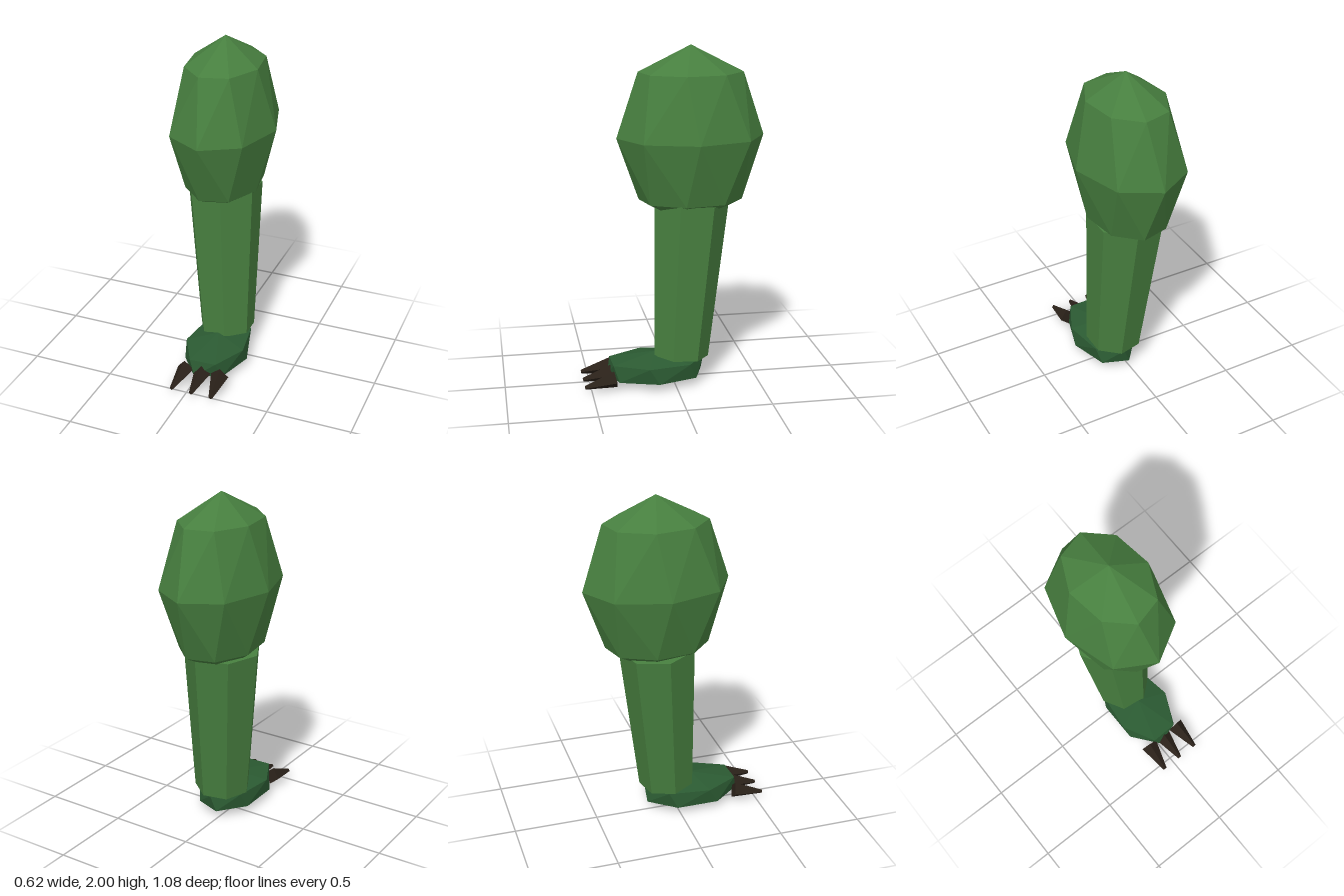
import * as THREE from 'three';
import { ConvexGeometry } from 'three/addons/geometries/ConvexGeometry.js';

const makeMaterial = (name, color) => {
  const m = new THREE.MeshStandardMaterial({ color, flatShading: true });
  m.name = name;
  return m;
};

// Faceted ellipsoid: every odd ring is twisted a little for a hand-cut look
function facetedBlob(center, radii, sides, rings) {
  const points = [];
  const add = (x, y, z) => points.push(new THREE.Vector3(
    center[0] + x * radii[0], center[1] + y * radii[1], center[2] + z * radii[2]));
  add(0, 1, 0);
  for (let r = 1; r < rings; r++) {
    const lat = (r / rings) * Math.PI;
    for (let i = 0; i < sides; i++) {
      const a = (i / sides) * Math.PI * 2 + (r % 2) * 0.2;
      add(Math.sin(lat) * Math.cos(a), Math.cos(lat), Math.sin(lat) * Math.sin(a));
    }
  }
  add(0, -1, 0);
  return new ConvexGeometry(points);
}

// Tapered prism running between two points
function taperedPrism(from, to, r0, r1, sides, startAngle) {
  const a = new THREE.Vector3(...from), b = new THREE.Vector3(...to);
  const dir = b.clone().sub(a);
  const geo = new THREE.CylinderGeometry(r1, r0, dir.length(), sides, 1, false, startAngle);
  geo.applyQuaternion(new THREE.Quaternion().setFromUnitVectors(
    new THREE.Vector3(0, 1, 0), dir.normalize()));
  const mid = a.add(b).multiplyScalar(0.5);
  return geo.translate(mid.x, mid.y, mid.z);
}

export function createModel() {
  const group = new THREE.Group();
  group.name = 'creatureLeg';
  const skin = makeMaterial('green skin', 0x477f3f);
  const footSkin = makeMaterial('dark green skin', 0x2b5a32);
  const horn = makeMaterial('dark claw', 0x2a2119);

  const add = (name, geometry, material) => {
    const mesh = new THREE.Mesh(geometry, material);
    mesh.name = name;
    group.add(mesh);
  };

  // Thigh
  add('thigh', facetedBlob([0, 1.475, -0.11], [0.308, 0.525, 0.43], 8, 4), skin);

  // Seven-sided shin leaning back and outward towards the thigh
  add('shin', taperedPrism([0.042, 0.16, -0.044], [-0.004, 1.09, -0.108],
    0.167, 0.226, 7, THREE.MathUtils.degToRad(15)), skin);

  // Foot
  add('foot', facetedBlob([0.045, 0.095, 0.108], [0.213, 0.095, 0.338], 7, 3), footSkin);

  // Three blunt-tipped claws, the outer ones splayed
  for (const side of [-1, 0, 1]) {
    const name = ['rightClaw', 'middleClaw', 'leftClaw'][side + 1];
    add(name, taperedPrism([0.046 + side * 0.108, 0.07, 0.36], [0.046 + side * 0.123, 0.035, 0.542],
      0.053, 0.012, 4, 0), horn);
  }
  return group;
}
